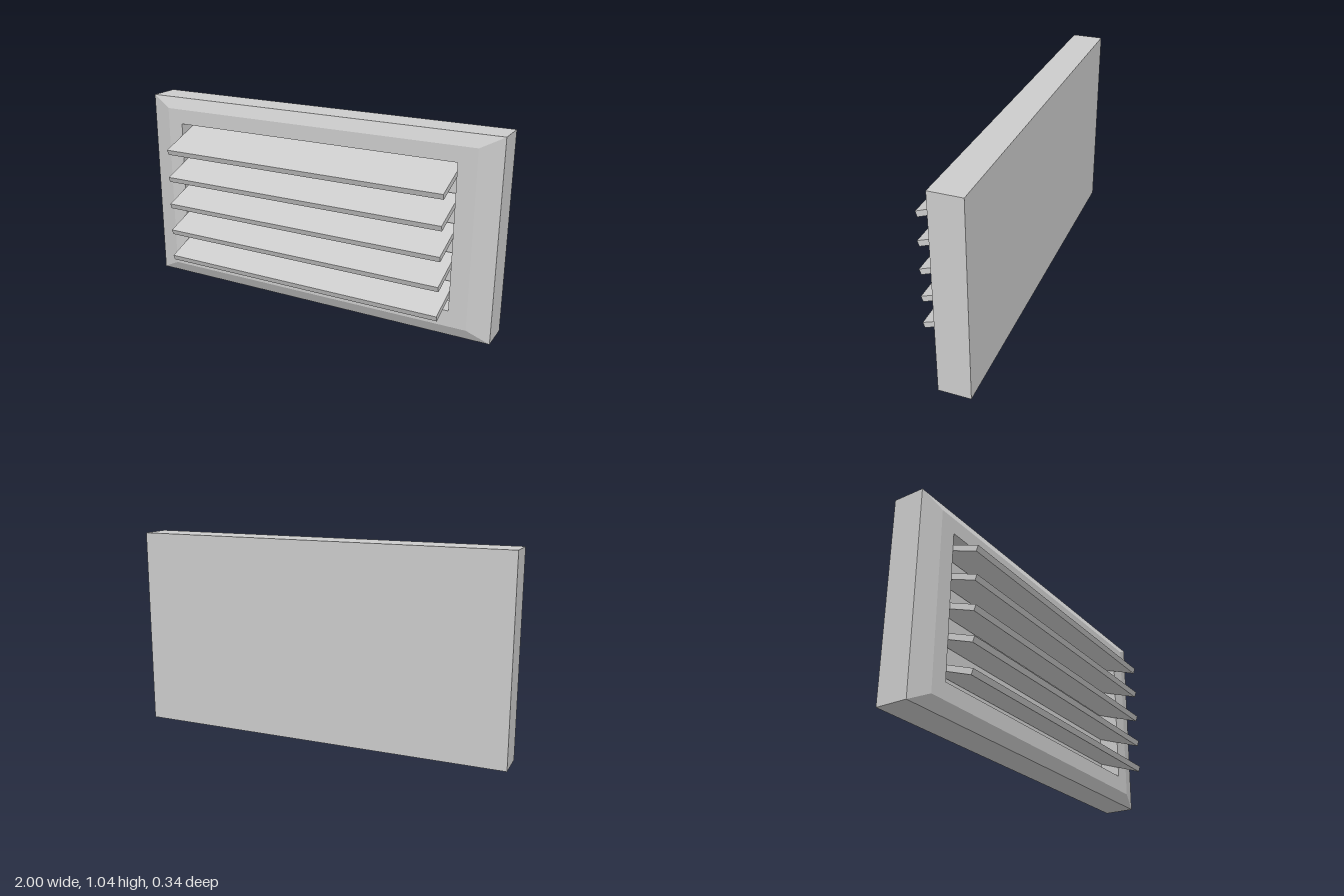
import * as THREE from 'three';

const material = new THREE.MeshStandardMaterial({ color: 0xcccccc, flatShading: true });

// Rectangular ring at depth z, counter-clockwise seen from the front
const ring = (x0, x1, y0, y1, z) => [[x0, y0, z], [x1, y0, z], [x1, y1, z], [x0, y1, z]];

// Skin a series of four-cornered rings and cap both ends
function skinRings(rings) {
  const pos = [];
  const quad = (a, b, c, d) => pos.push(...a, ...b, ...c, ...a, ...c, ...d);
  for (let r = 0; r < rings.length - 1; r++) {
    const a = rings[r], b = rings[r + 1];
    for (let i = 0; i < 4; i++) {
      const j = (i + 1) % 4;
      quad(a[i], a[j], b[j], b[i]);
    }
  }
  quad(...[...rings[0]].reverse());
  quad(...rings[rings.length - 1]);
  const geo = new THREE.BufferGeometry();
  geo.setAttribute('position', new THREE.Float32BufferAttribute(pos, 3));
  geo.computeVertexNormals();
  return geo;
}

export function createModel() {
  const model = new THREE.Group();
  model.name = 'louveredVent';

  // Housing: closed back, bevelled front and recessed opening
  const housing = new THREE.Mesh(skinRings([
    ring(-1, 1, 0, 1.045, -0.17),
    ring(-1, 1, 0, 1.045, -0.005),
    ring(-0.885, 0.885, 0.06, 0.985, 0.025),
    ring(-0.797, 0.79, 0.145, 0.905, 0.025),
    ring(-0.797, 0.79, 0.145, 0.905, -0.085),
  ]), material);
  housing.name = 'housing';
  model.add(housing);

  // Five slats sloping down towards the front
  const slatGeo = new THREE.BoxGeometry(1.575, 0.03, 0.255);
  const slats = new THREE.Group();
  slats.name = 'slats';
  for (let i = 0; i < 5; i++) {
    const slat = new THREE.Mesh(slatGeo, material);
    slat.name = `slat${i + 1}`;
    slat.position.set(-0.007, 0.82 - i * 0.154, 0.045);
    slat.rotation.x = THREE.MathUtils.degToRad(20);
    slats.add(slat);
  }
  model.add(slats);
  return model;
}
